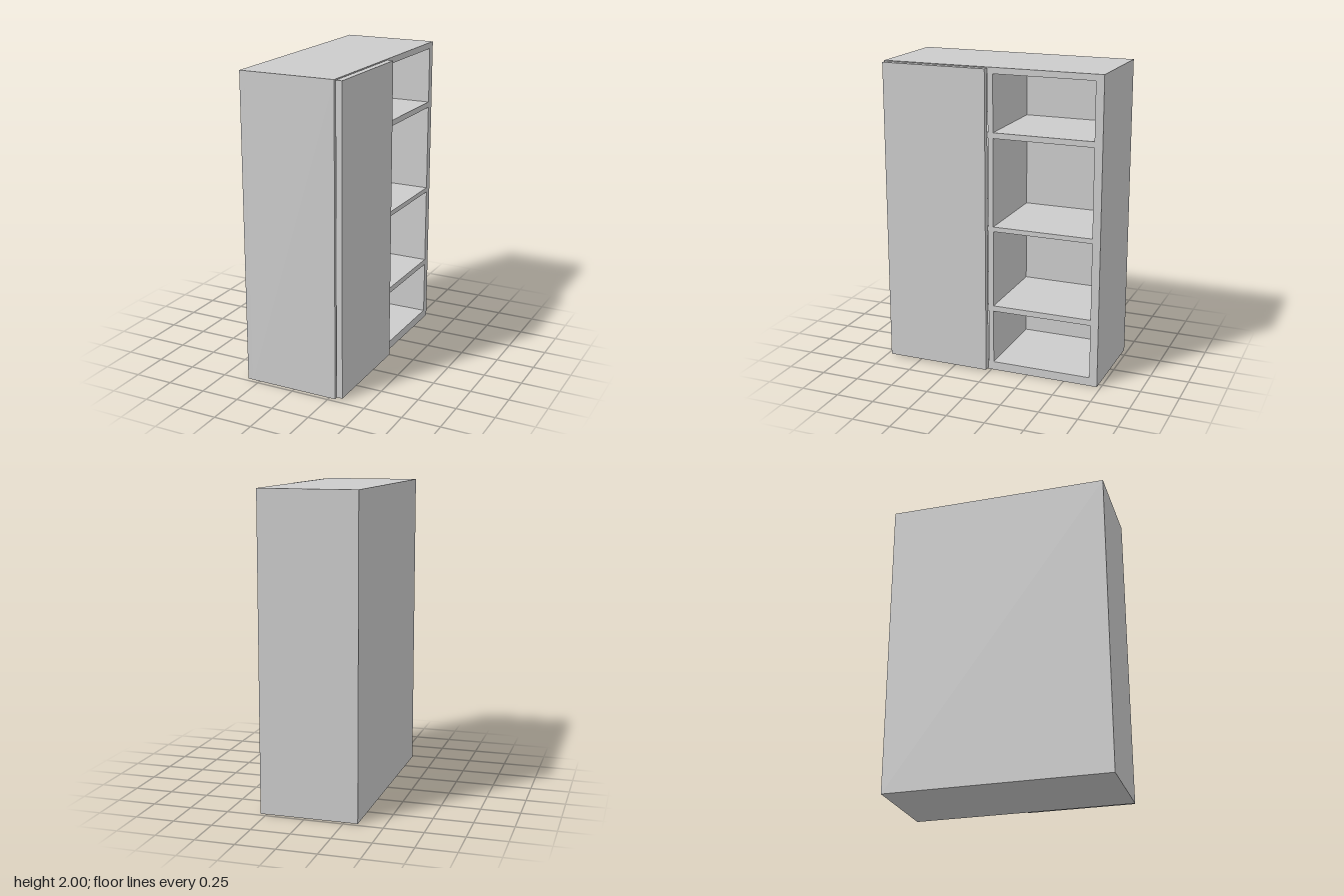
import * as THREE from 'three';

export function createModel() {
  const group = new THREE.Group();
  const material = new THREE.MeshStandardMaterial({ color: 0xcccccc });
  const W = 1.45, H = 2, backX = -0.335, frontX = 0.29, backThickness = 0.035;

  const add = (name, geometry, x, y, z) => {
    const mesh = new THREE.Mesh(geometry, material);
    mesh.name = name;
    mesh.position.set(x, y, z);
    group.add(mesh);
  };

  // Counter-clockwise rectangle traced on a path or shape
  const rectangle = (path, u0, v0, u1, v1) => {
    path.moveTo(u0, v0);
    path.lineTo(u1, v0);
    path.lineTo(u1, v1);
    path.lineTo(u0, v1);
    path.closePath();
    return path;
  };

  // Carcass with two columns of four compartments
  const outline = rectangle(new THREE.Shape(), -W / 2, 0, W / 2, H);
  const columns = [[-0.673, -0.018], [0.016, 0.673]];
  const rows = [[0.056, 0.412], [0.449, 0.953], [0.984, 1.557], [1.594, 1.96]];
  for (const [u0, u1] of columns) {
    for (const [v0, v1] of rows) {
      outline.holes.push(rectangle(new THREE.Path(), u0, v0, u1, v1));
    }
  }
  const carcass = new THREE.ExtrudeGeometry(outline, {
    depth: frontX - backX - backThickness,
    bevelEnabled: false,
  });
  carcass.rotateY(Math.PI / 2);
  add('shelfCarcass', carcass, backX + backThickness, 0, 0);

  // Closed back
  add('backPanel', new THREE.BoxGeometry(backThickness, H, W), backX + backThickness / 2, H / 2, 0);

  // Sliding door standing just clear of one column
  add('slidingDoor', new THREE.BoxGeometry(0.04, 1.985, 0.695), 0.315, 1.0025, 0.3675);

  return group;
}
